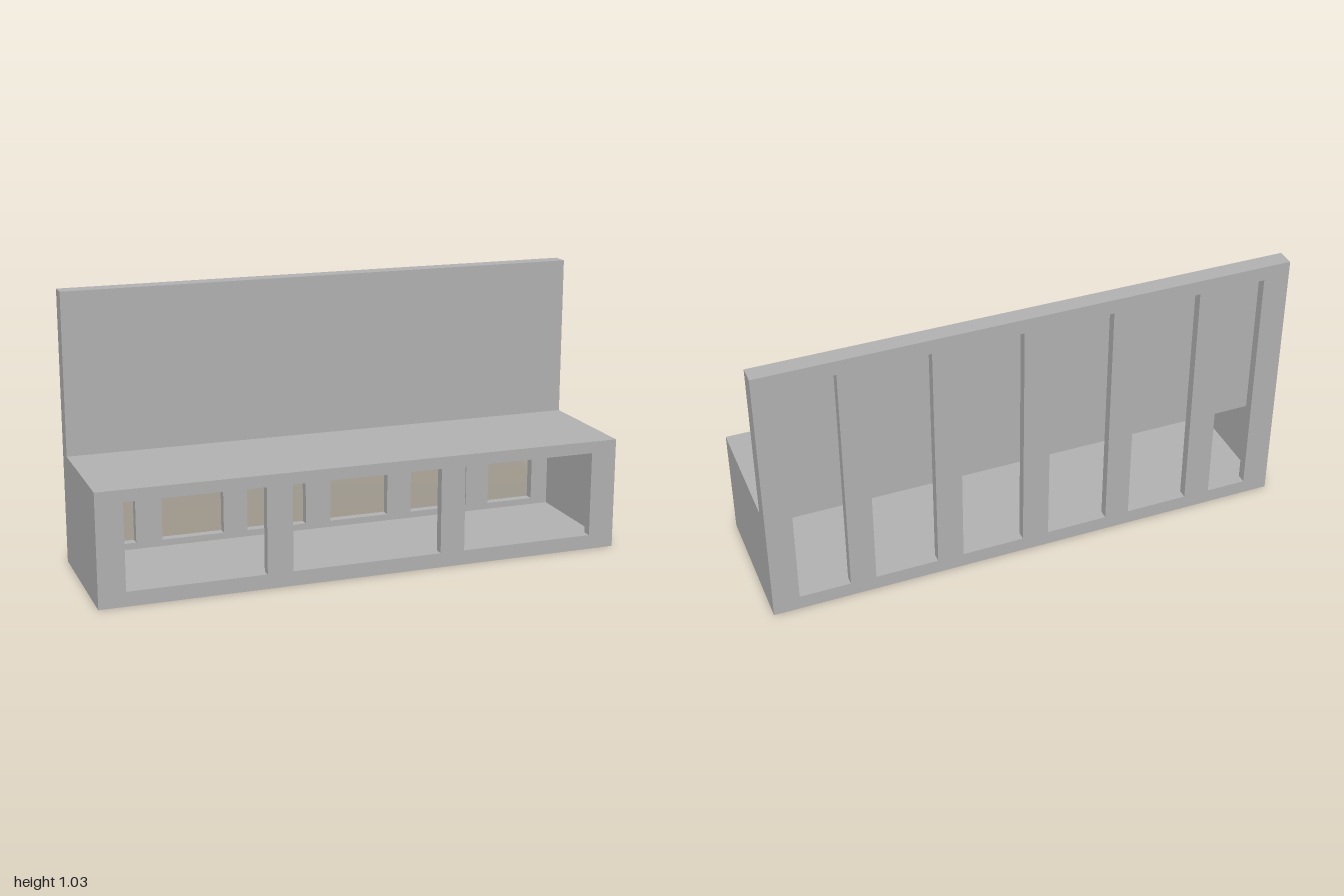
import * as THREE from 'three';

const W = 2, D = 0.54, H = 1.035; // overall size
const SEAT = 0.425;               // seat height
const FRAME = 0.036;              // thickness of the cut-out frames
const SHEET = 0.03;               // thickness of the panels
const SILL = 0.055;               // bottom of every opening
const BACK_FACE = -0.203;         // front face of the backrest

export function createModel() {
  const group = new THREE.Group();
  const gray = new THREE.MeshStandardMaterial({ color: 0xb2b2b2 });
  gray.name = 'plain gray';

  const add = (name, geometry) => {
    const mesh = new THREE.Mesh(geometry, gray);
    mesh.name = name;
    group.add(mesh);
  };

  // Box given by its limits on each axis
  const box = (name, [x0, x1], [y0, y1], [z0, z1]) => {
    const g = new THREE.BoxGeometry(x1 - x0, y1 - y0, z1 - z0);
    add(name, g.translate((x0 + x1) / 2, (y0 + y1) / 2, (z0 + z1) / 2));
  };

  const rect = (path, x0, x1, y0, y1) =>
    path.moveTo(x0, y0).lineTo(x1, y0).lineTo(x1, y1).lineTo(x0, y1).closePath();

  // Upright board with a row of rectangular openings
  const frame = (name, height, top, openings, z) => {
    const shape = rect(new THREE.Shape(), -W / 2, W / 2, 0, height);
    for (const [x0, x1] of openings) shape.holes.push(rect(new THREE.Path(), x0, x1, SILL, top));
    const g = new THREE.ExtrudeGeometry(shape, { depth: FRAME, bevelEnabled: false });
    add(name, g.translate(0, 0, z));
  };

  // Front with three wide openings, back with six tall ones
  frame('frontFrame', SEAT, 0.38,
    [[-0.9, -0.385], [-0.288, 0.285], [0.38, 0.9]], D / 2 - FRAME);
  frame('backFrame', H, 0.98,
    [[-0.9, -0.745], [-0.643, -0.402], [-0.307, -0.07], [0.032, 0.27], [0.37, 0.61], [0.707, 0.9]],
    -D / 2);

  // Hollow seat box between the two frames
  const inner = [-D / 2 + FRAME, D / 2 - FRAME];
  box('seat', [-1, 1], [SEAT - SHEET, SEAT], inner);
  box('floor', [-1, 1], [0, SHEET], inner);
  for (const s of [-1, 1]) {
    const xs = s < 0 ? [-1, -1 + SHEET] : [1 - SHEET, 1];
    box(s < 0 ? 'rightEnd' : 'leftEnd', xs, [SHEET, SEAT - SHEET], inner);
  }

  // Backrest panel in front of the back frame
  box('backrestPanel', [-1, 1], [SEAT, H], [-D / 2 + FRAME, BACK_FACE]);

  return group;
}
